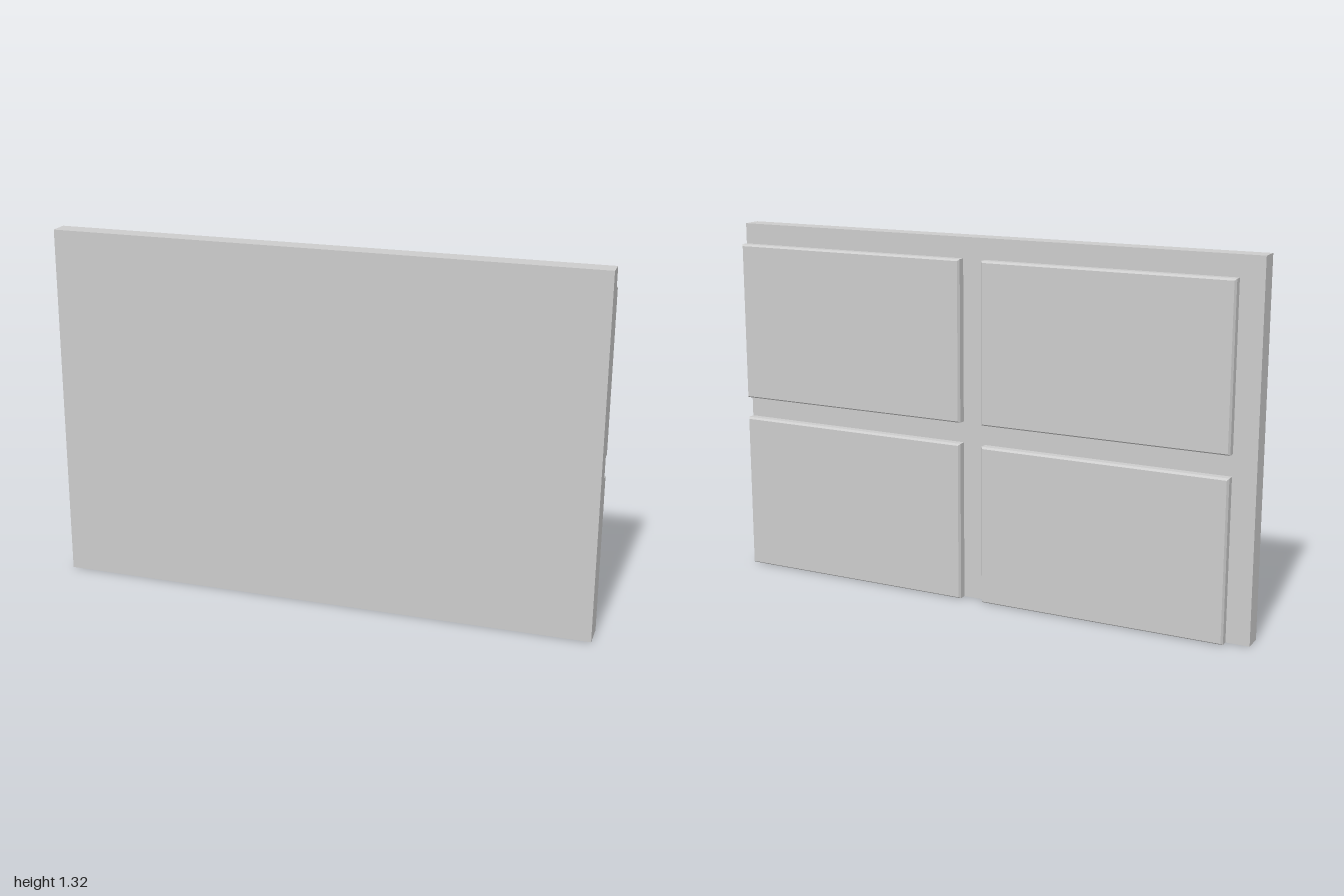
import * as THREE from 'three';

const WIDTH = 2, HEIGHT = 1.323;
const FRONT = 0.0535, SLAB_BACK = -0.018, PANEL_BACK = -0.0535;
const PANEL_W = 0.915, PANEL_H = 0.585;
const CHAMFER_DEPTH = 0.009, CHAMFER_INSET = 0.006;

// Raised block whose rear edges are chamfered on all four sides
function panelGeometry() {
  const geo = new THREE.BoxGeometry(PANEL_W, PANEL_H, 1, 1, 1, 2);
  const p = geo.attributes.position;
  for (let i = 0; i < p.count; i++) {
    const z = p.getZ(i);
    if (z > 0.25) {
      p.setZ(i, SLAB_BACK);
    } else if (z > -0.25) {
      p.setZ(i, PANEL_BACK + CHAMFER_DEPTH);
    } else {
      p.setXYZ(
        i,
        p.getX(i) - Math.sign(p.getX(i)) * CHAMFER_INSET,
        p.getY(i) - Math.sign(p.getY(i)) * CHAMFER_INSET,
        PANEL_BACK
      );
    }
  }
  const flat = geo.toNonIndexed();
  flat.computeVertexNormals();
  return flat;
}

export function createModel() {
  const group = new THREE.Group();
  group.name = 'panelledSlab';
  const material = new THREE.MeshStandardMaterial({ color: 0xcccccc, flatShading: true });

  // Plain slab
  const depth = FRONT - SLAB_BACK;
  const slab = new THREE.Mesh(new THREE.BoxGeometry(WIDTH, HEIGHT, depth), material);
  slab.name = 'slab';
  slab.position.set(0, HEIGHT / 2, (FRONT + SLAB_BACK) / 2);
  group.add(slab);

  // Two by two raised panels, flush with the left side and the bottom
  const geo = panelGeometry();
  for (const [row, bottom] of [['lower', 0], ['upper', 0.6625]]) {
    for (const [side, edge] of [['Left', 1], ['Right', 0]]) {
      const panel = new THREE.Mesh(geo, material);
      panel.name = `${row}${side}Panel`;
      panel.position.set(edge - PANEL_W / 2, bottom + PANEL_H / 2, 0);
      group.add(panel);
    }
  }
  return group;
}
